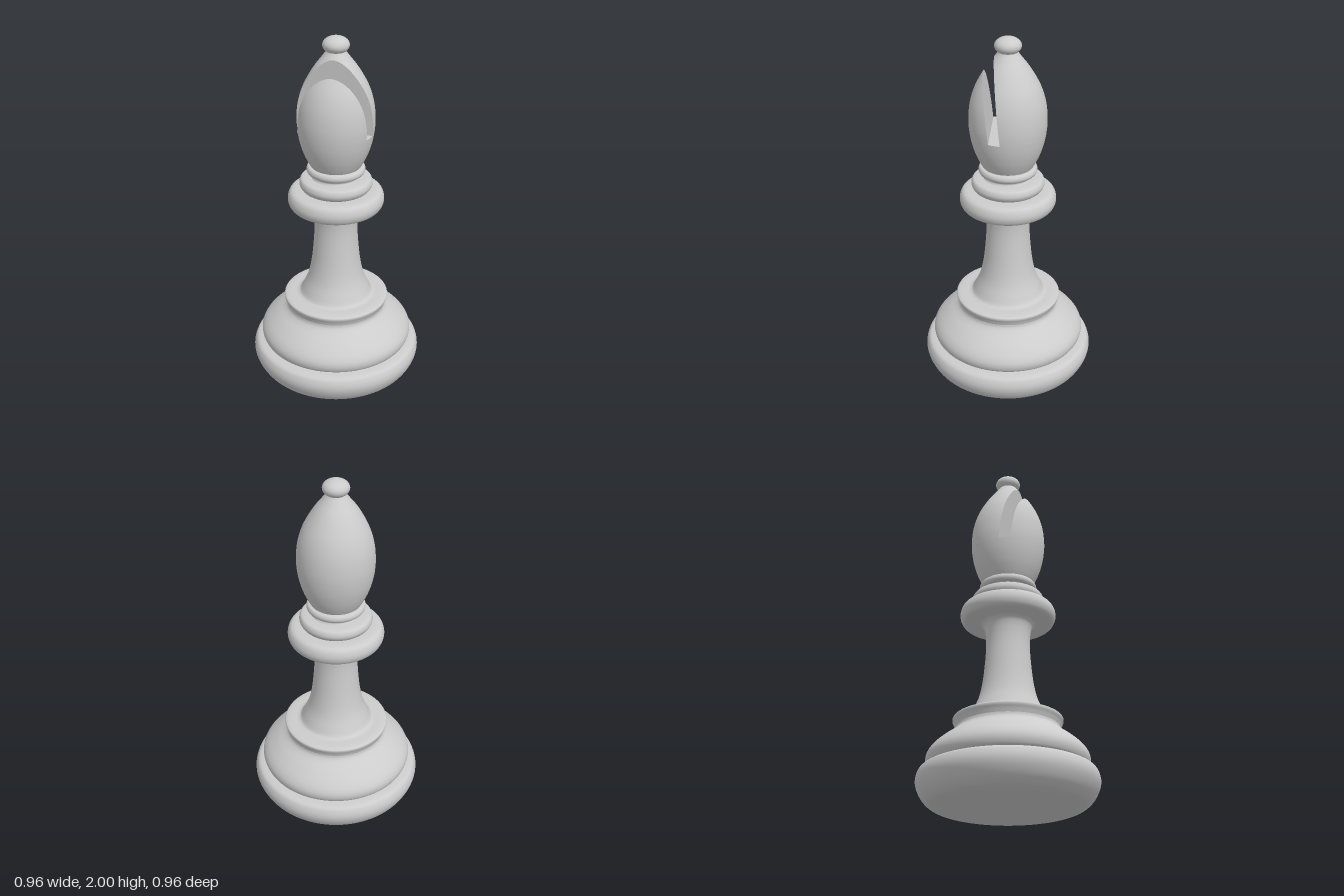
import * as THREE from 'three';

const material = new THREE.MeshStandardMaterial({ color: 0xcccccc });
const SEGMENTS = 96;

const smooth = (points, steps = 6) =>
  new THREE.SplineCurve(points.map(([r, y]) => new THREE.Vector2(r, y))).getPoints((points.length - 1) * steps);

// Head outline, and its radius at any height
const headOutline = smooth([
  [0.132, 1.275], [0.15, 1.305], [0.175, 1.36], [0.196, 1.43], [0.208, 1.51], [0.208, 1.58], [0.199, 1.65],
  [0.178, 1.72], [0.149, 1.78], [0.112, 1.84], [0.074, 1.89], [0.052, 1.92], [0.047, 1.935],
], 10);
function headRadius(y) {
  const i = Math.max(1, headOutline.findIndex((p) => p.y >= y));
  const a = headOutline[i - 1], b = headOutline[i];
  return THREE.MathUtils.mapLinear(y, a.y, b.y, a.x, b.x);
}

// Slot: two leaning planes over a level floor; s runs across the slot, t along it
const FLOOR = 1.48;
const ANGLE = Math.atan2(0.545, 0.84);
const slotOuter = (y) => -0.092 - 0.11 * (y - FLOOR);
const slotInner = (y) => -0.03 - 0.1 * (y - FLOOR);
const slotPoint = (s, t, y) => [
  s * Math.cos(ANGLE) + t * Math.sin(ANGLE), y, -s * Math.sin(ANGLE) + t * Math.cos(ANGLE),
];

// Height where a slot plane leaves the head
function planeTop(plane) {
  let low = 1.6, high = 1.93;
  for (let i = 0; i < 40; i++) {
    const mid = (low + high) / 2;
    if (plane(mid) > -headRadius(mid)) low = mid;
    else high = mid;
  }
  return low;
}

// Surface from rows of points
function grid(rows, columns, point) {
  const positions = [], index = [];
  for (let i = 0; i <= rows; i++) {
    for (let k = 0; k <= columns; k++) {
      positions.push(...point(i / rows, k / columns));
      if (i === rows || k === columns) continue;
      const a = i * (columns + 1) + k, up = a + columns + 1;
      index.push(a, up, a + 1, a + 1, up, up + 1);
    }
  }
  const geometry = new THREE.BufferGeometry();
  geometry.setAttribute('position', new THREE.Float32BufferAttribute(positions, 3));
  geometry.setIndex(index);
  geometry.computeVertexNormals();
  return geometry;
}

export function createModel() {
  const model = new THREE.Group();
  const add = (name, geometry) => {
    const mesh = new THREE.Mesh(geometry, material);
    mesh.name = name;
    model.add(mesh);
    return mesh;
  };
  const turn = (name, points) => add(name, new THREE.LatheGeometry(points, SEGMENTS));

  // Base
  add('underside', new THREE.CircleGeometry(0.37, SEGMENTS).rotateX(Math.PI / 2));
  turn('baseRing', smooth([
    [0.37, 0], [0.41, 0.012], [0.445, 0.042], [0.47, 0.085], [0.48, 0.125], [0.474, 0.162], [0.455, 0.188], [0.405, 0.197],
  ]));
  turn('baseDome', smooth([
    [0.405, 0.197], [0.422, 0.21], [0.431, 0.24], [0.425, 0.272], [0.4, 0.308], [0.35, 0.352], [0.303, 0.385],
    [0.284, 0.405], [0.28, 0.423],
  ]));
  turn('baseRim', smooth([
    [0.28, 0.423], [0.287, 0.444], [0.295, 0.463], [0.291, 0.476], [0.265, 0.482], [0.225, 0.484],
  ]));

  // Stem and collars
  turn('stem', smooth([
    [0.225, 0.484], [0.204, 0.493], [0.185, 0.53], [0.157, 0.6], [0.138, 0.69], [0.126, 0.8], [0.12, 0.9],
    [0.123, 0.97], [0.133, 1.015], [0.15, 1.035],
  ]));
  turn('collar', smooth([
    [0.15, 1.035], [0.225, 1.035], [0.253, 1.048], [0.265, 1.085], [0.254, 1.124], [0.228, 1.14], [0.175, 1.143],
  ]));
  turn('middleRing', smooth([
    [0.175, 1.143], [0.19, 1.154], [0.2, 1.178], [0.192, 1.204], [0.172, 1.212], [0.135, 1.215],
  ]));
  turn('neck', smooth([[0.135, 1.215], [0.13, 1.226], [0.138, 1.24]]));
  turn('upperRing', smooth([[0.138, 1.24], [0.153, 1.244], [0.16, 1.261], [0.152, 1.279], [0.13, 1.284]]));

  // Head below the slot and above it
  const outline = (from, to, n) => Array.from({ length: n + 1 }, (_, i) => {
    const y = THREE.MathUtils.lerp(from, to, i / n);
    return new THREE.Vector2(headRadius(y), y);
  });
  const innerTop = planeTop(slotInner), outerTop = planeTop(slotOuter);
  turn('headLower', outline(1.276, FLOOR, 20));
  turn('headTip', outline(innerTop, 1.934, 8));

  // Head on each side of the slot: a curved shell and a flat wall
  const side = (name, plane, top, isInner) => {
    const height = (u) => FLOOR + (top - FLOOR) * (1 - (1 - u) ** 2);
    const opening = (y) => Math.acos(THREE.MathUtils.clamp(plane(y) / headRadius(y), -1, 1));
    add(name + 'Shell', grid(40, 80, (u, v) => {
      const y = height(u), r = headRadius(y), a = opening(y);
      const phi = isInner ? THREE.MathUtils.lerp(-a, a, v) : THREE.MathUtils.lerp(a, 2 * Math.PI - a, v);
      return slotPoint(r * Math.cos(phi), r * Math.sin(phi), y);
    }));
    add(name + 'SlotWall', grid(40, 4, (u, v) => {
      const y = height(u), t = headRadius(y) * Math.sin(opening(y)) * (1 - 2 * v);
      return slotPoint(plane(y), isInner ? t : -t, y);
    }));
  };
  side('headMain', slotInner, innerTop, true);
  side('headFlap', slotOuter, outerTop, false);

  // Slot floor
  const floorRadius = headRadius(FLOOR);
  add('slotFloor', grid(8, 4, (u, v) => {
    const s = THREE.MathUtils.lerp(slotOuter(FLOOR), slotInner(FLOOR), u);
    return slotPoint(s, Math.sqrt(floorRadius ** 2 - s * s) * (1 - 2 * v), FLOOR);
  }));

  // Finial
  const finial = add('finial', new THREE.SphereGeometry(0.071, 48, 32));
  finial.scale.y = 0.65;
  finial.position.y = 2 - 0.071 * 0.65;

  return model;
}
